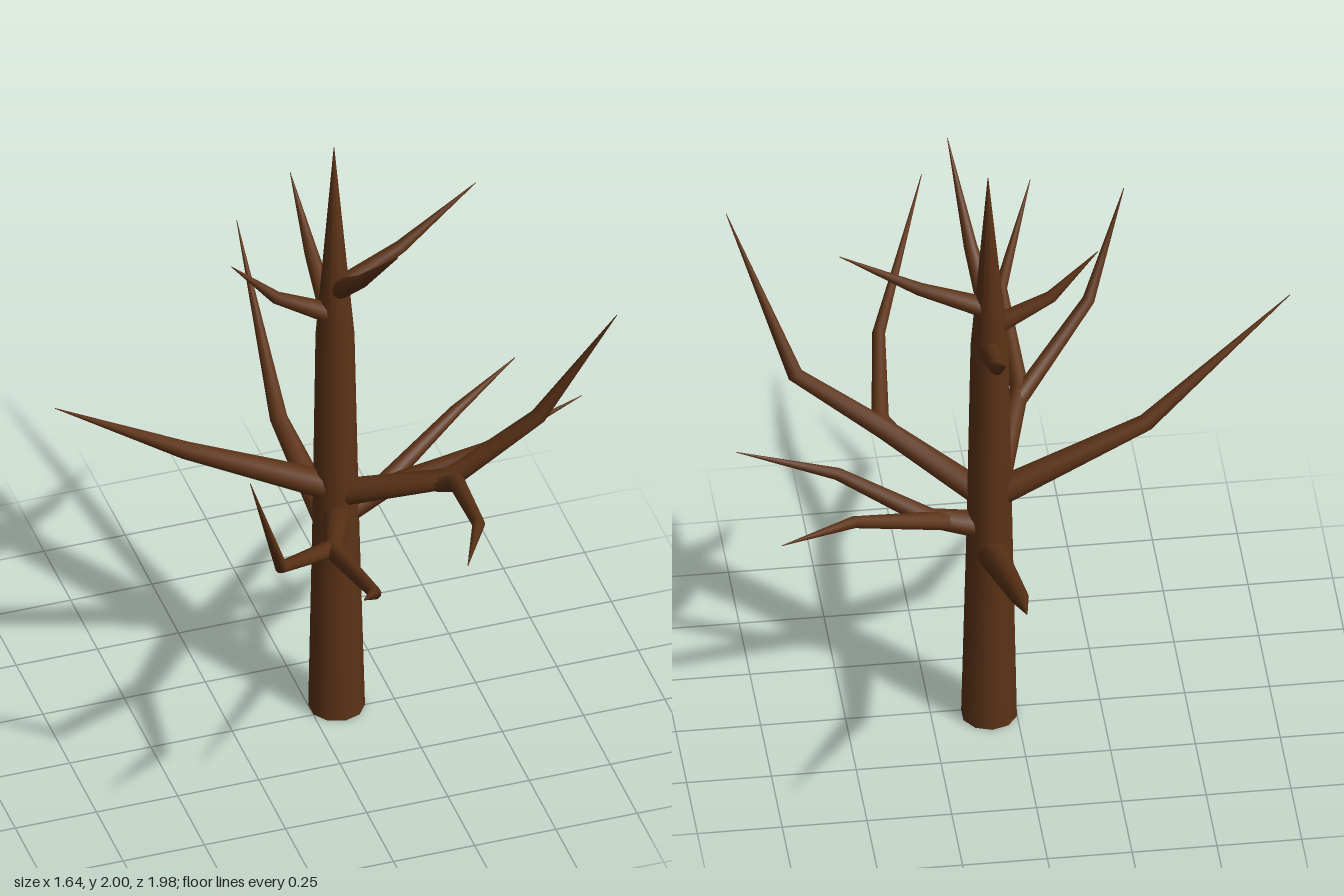
import * as THREE from 'three';

const SIDES = 10;
const bark = new THREE.MeshStandardMaterial({ color: 0x5c3317, roughness: 0.9 });

// Tapered limb: rings swept along points [x, y, z, radius], capped at both ends
function limb(name, points) {
  const centres = points.map(([x, y, z]) => new THREE.Vector3(x, y, z));
  const last = points.length - 1;
  const positions = [], index = [];
  const side = new THREE.Vector3(0, 0, 1);
  if (Math.abs(points[last][2] - points[0][2]) > 0.3) side.set(1, 0, 0);
  centres.forEach((c, i) => {
    // Ring lies across the mean direction of the neighbouring segments
    const dir = new THREE.Vector3();
    if (i > 0) dir.add(c.clone().sub(centres[i - 1]).normalize());
    if (i < last) dir.add(centres[i + 1].clone().sub(c).normalize());
    dir.normalize();
    side.addScaledVector(dir, -side.dot(dir)).normalize();
    const up = dir.clone().cross(side);
    for (let s = 0; s < SIDES; s++) {
      const a = (s / SIDES) * Math.PI * 2, r = points[i][3];
      const p = c.clone().addScaledVector(side, r * Math.cos(a)).addScaledVector(up, r * Math.sin(a));
      positions.push(p.x, p.y, p.z);
    }
  });
  for (let i = 0; i < last; i++) {
    for (let s = 0; s < SIDES; s++) {
      const a = i * SIDES + s, b = i * SIDES + (s + 1) % SIDES;
      index.push(a, b, b + SIDES, a, b + SIDES, a + SIDES);
    }
  }
  // Root cap with its own vertices, so its edge stays sharp
  const base = positions.length / 3;
  positions.push(...positions.slice(0, SIDES * 3));
  for (let s = 1; s < SIDES - 1; s++) index.push(base, base + s + 1, base + s);

  const geometry = new THREE.BufferGeometry();
  geometry.setAttribute('position', new THREE.Float32BufferAttribute(positions, 3));
  geometry.setIndex(index);
  geometry.computeVertexNormals();
  const mesh = new THREE.Mesh(geometry, bark);
  mesh.name = name;
  return mesh;
}

const TIP = 0.001;

const LIMBS = {
  trunk: [[0.08, 0, -0.025, 0.083], [0.079, 0.7, -0.03, 0.068], [0.08, 1.35, -0.04, 0.057], [0.09, 2, -0.08, TIP]],

  // Lower crown
  backBranch: [[0.08, 0.61, -0.04, 0.047], [0.045, 0.745, -0.46, 0.027], [0.09, 1.08, -0.99, TIP]],
  rightBranch: [[0.07, 0.8, -0.03, 0.045], [-0.38, 1.03, -0.04, 0.027], [-0.82, 1.37, 0.075, TIP]],

  frontRightBranch: [[0.08, 0.7, -0.02, 0.042], [-0.06, 0.88, 0.37, 0.028], [-0.05, 0.98, 0.73, 0.019], [-0.17, 1.17, 0.99, TIP]],
  frontRightFork: [[-0.045, 0.86, 0.33, 0.028], [-0.29, 1.025, 0.58, 0.019], [-0.4, 1.39, 0.625, TIP]],

  frontLeftBranch: [[0.08, 0.78, -0.02, 0.042], [0.36, 0.91, 0.18, 0.032], [0.62, 1.105, 0.22, 0.024], [0.8, 1.57, 0.41, TIP]],
  frontLeftFork: [[0.33, 0.89, 0.16, 0.03], [0.37, 0.92, 0.22, 0.027], [0.335, 1.0, 0.53, 0.019], [0.15, 1.22, 0.99, TIP]],

  leftBranch: [[0.08, 0.69, -0.03, 0.045], [0.26, 0.75, -0.05, 0.03], [0.52, 0.875, 0.03, 0.019], [0.82, 0.99, 0.02, TIP]],
  leftFork: [[0.2, 0.73, -0.045, 0.03], [0.5, 0.86, -0.19, 0.018], [0.73, 0.9, -0.33, TIP]],

  // Upper crown
  upperLeftBranch: [[0.085, 1.5, -0.05, 0.033], [0.29, 1.6, -0.065, 0.02], [0.53, 1.76, -0.09, TIP]],
  upperRightBranch: [[0.08, 1.42, -0.04, 0.033], [-0.1, 1.52, -0.045, 0.019], [-0.24, 1.67, -0.04, TIP]],
  upperFrontBranch: [[0.085, 1.5, -0.05, 0.033], [0.12, 1.625, 0.09, 0.02], [0.16, 1.86, 0.31, TIP]],
  upperBackBranch: [[0.085, 1.35, -0.05, 0.035], [0.09, 1.46, -0.29, 0.021], [0.09, 1.615, -0.49, TIP]],
};

export function createModel() {
  const tree = new THREE.Group();
  tree.name = 'bareTree';
  for (const [name, points] of Object.entries(LIMBS)) tree.add(limb(name, points));
  return tree;
}
